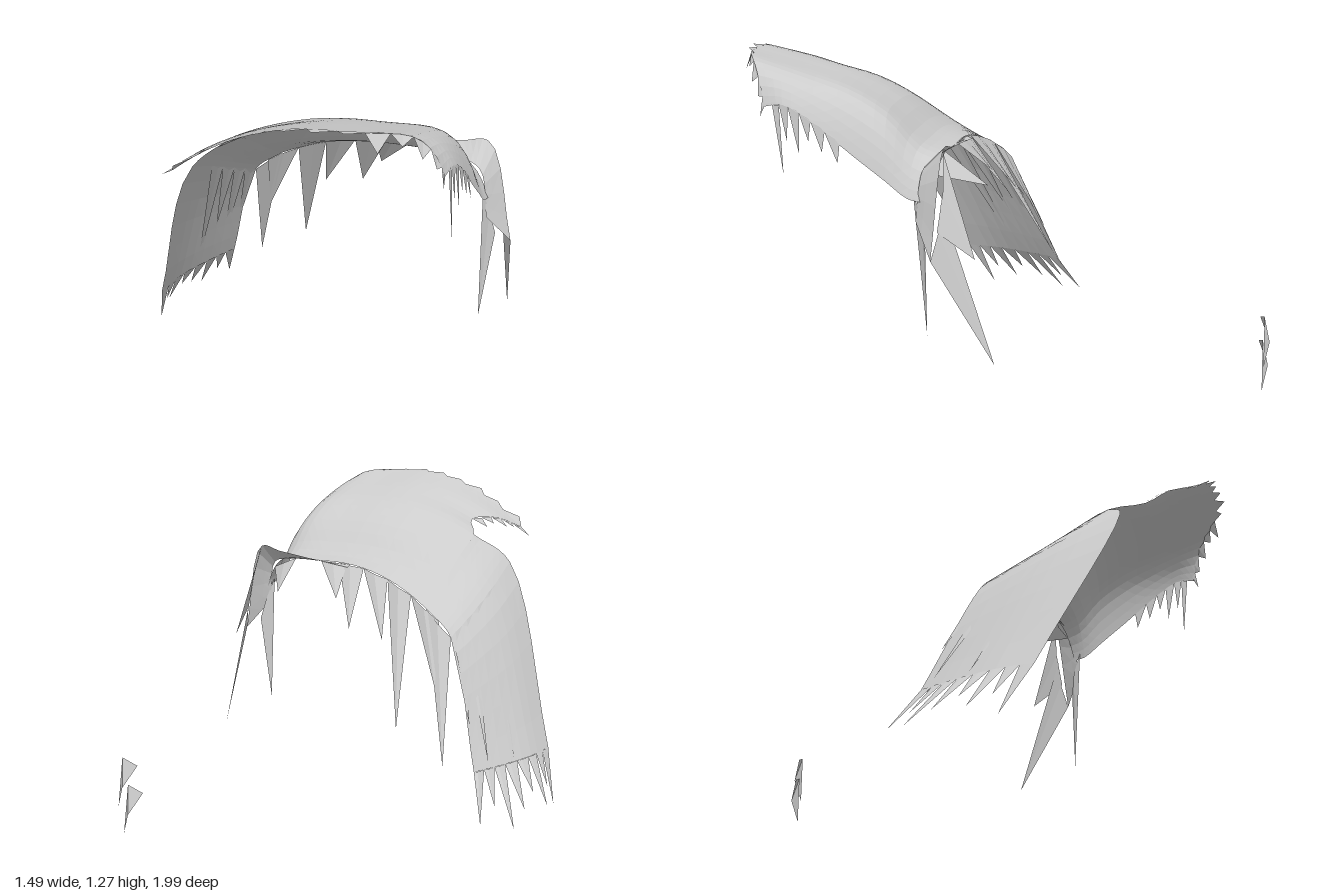
import * as THREE from 'three';

const V = (x, y, z) => new THREE.Vector3(x, y, z);
const curve = (points) => new THREE.CatmullRomCurve3(points);

// Arches from front to back: left end, crown height and depth, right end
const arches = [
  { left: V(-.28, 1.04, .9), y: 1.275, z: .955, right: V(.63, 1.11, .82) },
  { left: V(-.2, 1.09, .79), y: 1.24, z: .81, right: V(.64, 1.12, .75) },
  { left: V(-.13, 1.09, .69), y: 1.205, z: .68, right: V(.65, 1.06, .64) },
  { left: V(-.2, 1.04, .55), y: 1.165, z: .56, right: V(.655, .95, .5) },
  { left: V(-.2, .97, .41), y: 1.085, z: .41, right: V(.66, .86, .38) },
  { left: V(-.2, .87, .24), y: .965, z: .27, right: V(.665, .8, .3) },
  { left: V(-.2, .79, .09), y: .935, z: .18, right: V(.67, .79, .25) },
];

// Gentle fall to the left of the crown, sharp shoulder to the right
function archPoints({ left, y, z, right }) {
  return Array.from({ length: 25 }, (_, i) => {
    const s = i / 12 - 1;
    const end = s < 0 ? left : right;
    const t = s < 0 ? -s : Math.sin(s * Math.PI / 2);
    const mix = THREE.MathUtils.lerp;
    return V(mix(.3, end.x, t), mix(y, end.y, t ** (s < 0 ? 2 : 7)), mix(z, end.z, t * t));
  });
}

function meshFrom(name, points, material, index = null) {
  const geometry = new THREE.BufferGeometry().setFromPoints(points);
  geometry.setIndex(index);
  geometry.computeVertexNormals();
  const mesh = new THREE.Mesh(geometry, material);
  mesh.name = name;
  return mesh;
}

// Loft a grid through rows of points, smoothed from row to row
function loft(name, rows, nv, material) {
  const columns = rows[0].map((_, i) => curve(rows.map((r) => r[i])));
  const n = columns.length, points = [], index = [];
  for (let j = 0; j <= nv; j++) {
    columns.forEach((c, i) => {
      points.push(c.getPoint(j / nv));
      const a = j * n + i, b = a + n;
      if (j < nv && i < n - 1) index.push(a, b, a + 1, a + 1, b, b + 1);
    });
  }
  return meshFrom(name, points, material, index);
}

// Folded pointed shred: two faces meeting on a crease
function shred(out, a, b, tip) {
  const mid = a.clone().lerp(b, .5);
  mid.z -= .01;
  out.push(a, mid, tip, mid, b, tip);
}

// Shreds of uneven length along part of an edge
const lengths = [1, .6, .85, .55, .75];
function fringe(name, edge, from, to, count, reach, material) {
  const out = [];
  for (let i = 0; i < count; i++) {
    const at = (k) => edge.getPoint(from + (to - from) * k / count);
    const offset = reach((i + .5) / count).multiplyScalar(lengths[i % 5]);
    shred(out, at(i), at(i + 1), at(i + .5).add(offset));
  }
  return meshFrom(name, out, material);
}

export function createModel() {
  const group = new THREE.Group();
  const cloth = new THREE.MeshStandardMaterial({ color: 0xcccccc, side: THREE.DoubleSide, flatShading: true });
  cloth.name = 'pale grey cloth';

  // Arched canopy
  const canopy = arches.map(archPoints);
  group.add(loft('canopy', canopy, 18, cloth));

  // Side panel falling from the rear arches: hem, shoulder, joint
  const hem = [V(-.65, .21, .33), V(-.63, .21, .19), V(-.57, .21, .02), V(-.51, .21, -.11)];
  const shoulder = [V(-.345, .925, .61), V(-.355, .84, .4), V(-.345, .76, .22), V(-.325, .69, .06)];
  const panel = hem.map((h, i) => curve([h, shoulder[i], arches[i + 3].left]).getPoints(12));
  group.add(loft('sidePanel', panel, 9, cloth));

  // Lip turning up and out at the back corner
  const lipBase = [V(.2, .93, .17), V(.54, .925, .22), V(.635, .895, .25), V(.67, .72, .27)];
  const lipEdge = [V(.2, .92, .15), V(.54, .965, .16), V(.65, .978, .17), V(.755, .6, .2)];
  group.add(loft('backLip', [lipBase, lipEdge].map((r) => curve(r).getPoints(14)), 2, cloth));

  // Torn borders
  const leftEdge = curve(arches.slice(0, 3).map((a) => a.left));
  const rightEdge = curve(arches.slice(0, 4).map((a) => a.right));
  group.add(
    fringe('frontFringe', curve(canopy[0]), 0, .6, 7, () => V(-.02, .003, .04), cloth),
    fringe('shoulderFringe', curve(canopy[0]), .6, 1, 5, () => V(.005, -.06, .02), cloth),
    fringe('notchFringe', leftEdge, 0, 1, 5, () => V(-.07, -.045, -.01), cloth),
    fringe('sideFringe', rightEdge, .15, .9, 6, (s) => V(.01, -.27 + .2 * s, -.02), cloth),
    fringe('panelHem', curve(hem), 0, 1, 8,
      (s) => V(-.06 - .07 * Math.sin(s * Math.PI), -.2, -.08 - .07 * s), cloth),
    fringe('panelPleats', curve(shoulder), .3, 1, 4, () => V(-.24, -.6, -.28), cloth),
  );

  // Long shreds hanging from the back edge of panel and canopy
  const rim = [...panel[3], ...canopy[6]];
  const rimAt = (x) => rim.find((p) => p.x >= x);
  const back = [];
  const tips = [V(-.39, .22, -.14), V(-.3, .5, -.03), V(-.18, .34, -.13),
    V(-.04, .66, .01), V(.12, .69, .02), V(.21, .8, .07), V(.48, .81, .04)];
  for (const tip of tips) {
    const x = tip.x + .06 + (.94 - tip.y) * .09;
    shred(back, rimAt(x - .07), rimAt(x + .05), tip);
  }
  group.add(meshFrom('backShreds', back, cloth));

  // Strands below the back corner
  const strands = [];
  shred(strands, V(.655, .82, .28), V(.7, .64, .23), V(.655, .28, .24));
  shred(strands, V(.7, .8, .17), V(.755, .6, .2), V(.725, .21, -.02));
  shred(strands, V(.65, .97, .17), V(.73, .7, .18), V(.71, .6, .05));
  group.add(meshFrom('cornerStrands', strands, cloth));

  // Loose scrap behind: the same folded flake twice
  const scrap = [];
  for (const k of [0, 1]) {
    const [a, b, c, d] = [V(.43, .335, -.965), V(.475, .255, -1), V(.49, .36, -.975), V(.515, .17, -.98)]
      .map((p) => p.add(V(-.02 * k, -.1 * k, 0)));
    scrap.push(a, b, c, c, b, d);
  }
  group.add(meshFrom('looseScrap', scrap, cloth));
  return group;
}
